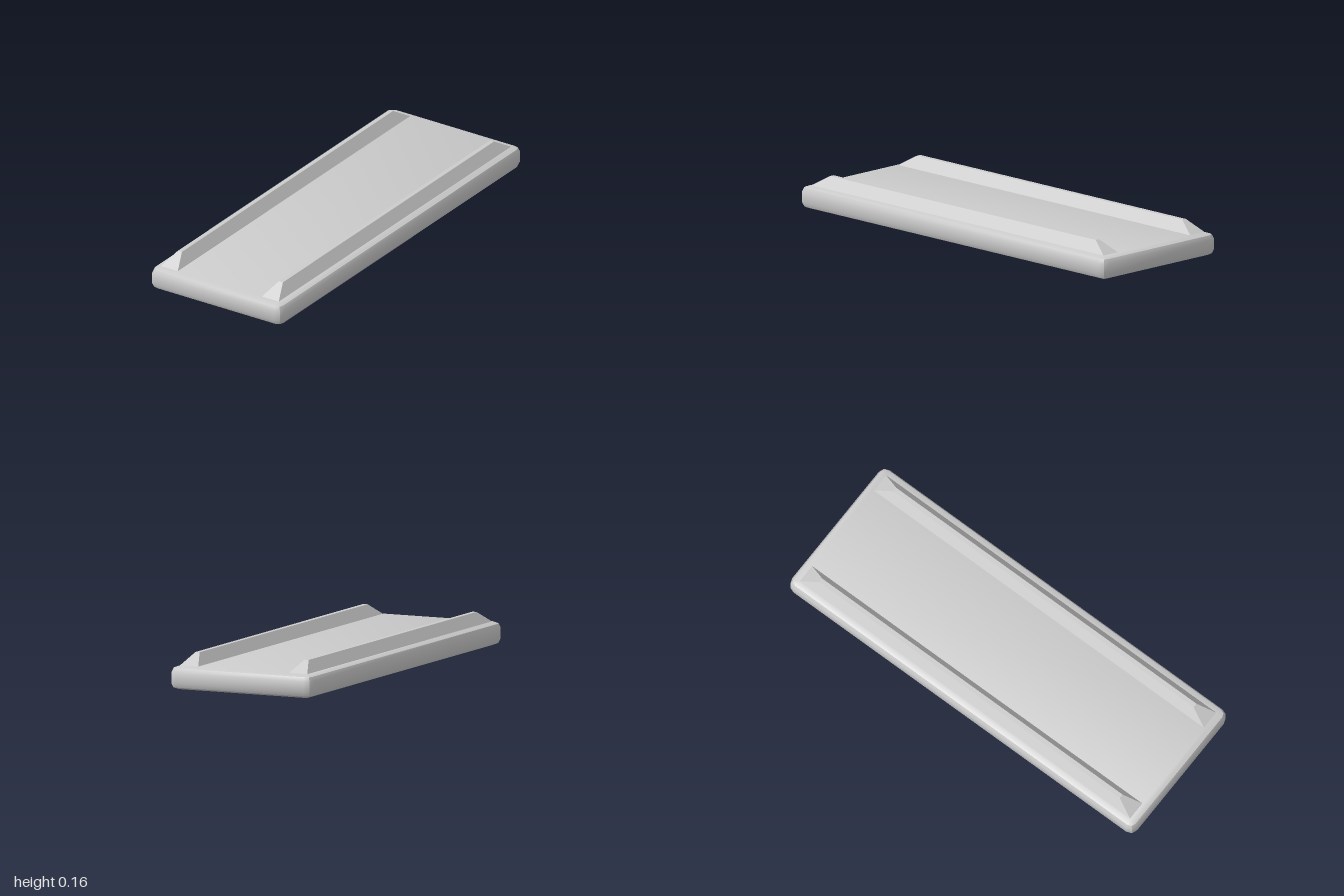
import * as THREE from 'three';
import { toCreasedNormals } from 'three/addons/utils/BufferGeometryUtils.js';

const material = new THREE.MeshStandardMaterial({ color: 0xcccccc });

// Joins stacked loops (counter-clockwise from above, bottom to top) and caps both ends.
function loft(loops, crease) {
  const positions = [];
  const tri = new THREE.Triangle();
  const face = (a, b, c) => {
    if (tri.set(a, b, c).getArea() < 1e-9) return; // collapsed corner
    for (const p of [a, b, c]) positions.push(p.x, p.y, p.z);
  };
  const n = loops[0].length;
  for (let k = 0; k < loops.length - 1; k++) {
    for (let i = 0; i < n; i++) {
      const j = (i + 1) % n;
      const [a, b, c, d] = [loops[k][i], loops[k][j], loops[k + 1][j], loops[k + 1][i]];
      face(a, b, c);
      face(a, c, d);
    }
  }
  const bottom = loops[0], top = loops[loops.length - 1];
  for (let i = 1; i < n - 1; i++) {
    face(bottom[0], bottom[i + 1], bottom[i]);
    face(top[0], top[i], top[i + 1]);
  }
  const geometry = new THREE.BufferGeometry();
  geometry.setAttribute('position', new THREE.Float32BufferAttribute(positions, 3));
  return toCreasedNormals(geometry, crease);
}

const corners = [[1, 1], [1, -1], [-1, -1], [-1, 1]];

// Rectangle loop with bevelled corners that shrink to points at full inset.
function slabLoop(y, inset) {
  const hx = 0.365, hz = 1, r = 0.037, k = r - 0.01;
  const s = (r - inset) / r;
  const bevel = [[0, r], [k, k], [r, 0]];
  return corners.flatMap(([sx, sz]) => {
    const order = sx * sz > 0 ? bevel : [...bevel].reverse();
    return order.map(([dx, dz]) =>
      new THREE.Vector3(sx * (hx - r + dx * s), y, sz * (hz - r + dz * s)));
  });
}

function railLoop(y, halfWidth, halfLength) {
  return corners.map(([sx, sz]) => new THREE.Vector3(sx * halfWidth, y, sz * halfLength));
}

export function createModel() {
  const group = new THREE.Group();
  group.name = 'railedSlab';

  // Slab with bevelled edges: [height, inset]
  const profile = [[0, 0.037], [0.01, 0.01], [0.03, 0], [0.08, 0], [0.1, 0.01], [0.11, 0.037]];
  const slab = new THREE.Mesh(loft(profile.map(([y, d]) => slabLoop(y, d)), 0.62), material);
  slab.name = 'slab';
  group.add(slab);

  // Two tapered rails with sloping ends
  const railGeometry = loft([railLoop(0.108, 0.048, 0.96), railLoop(0.163, 0.011, 0.87)], 0.3);
  for (const side of [1, -1]) {
    const rail = new THREE.Mesh(railGeometry, material);
    rail.name = side > 0 ? 'leftRail' : 'rightRail';
    rail.position.x = side * 0.28;
    group.add(rail);
  }
  return group;
}
